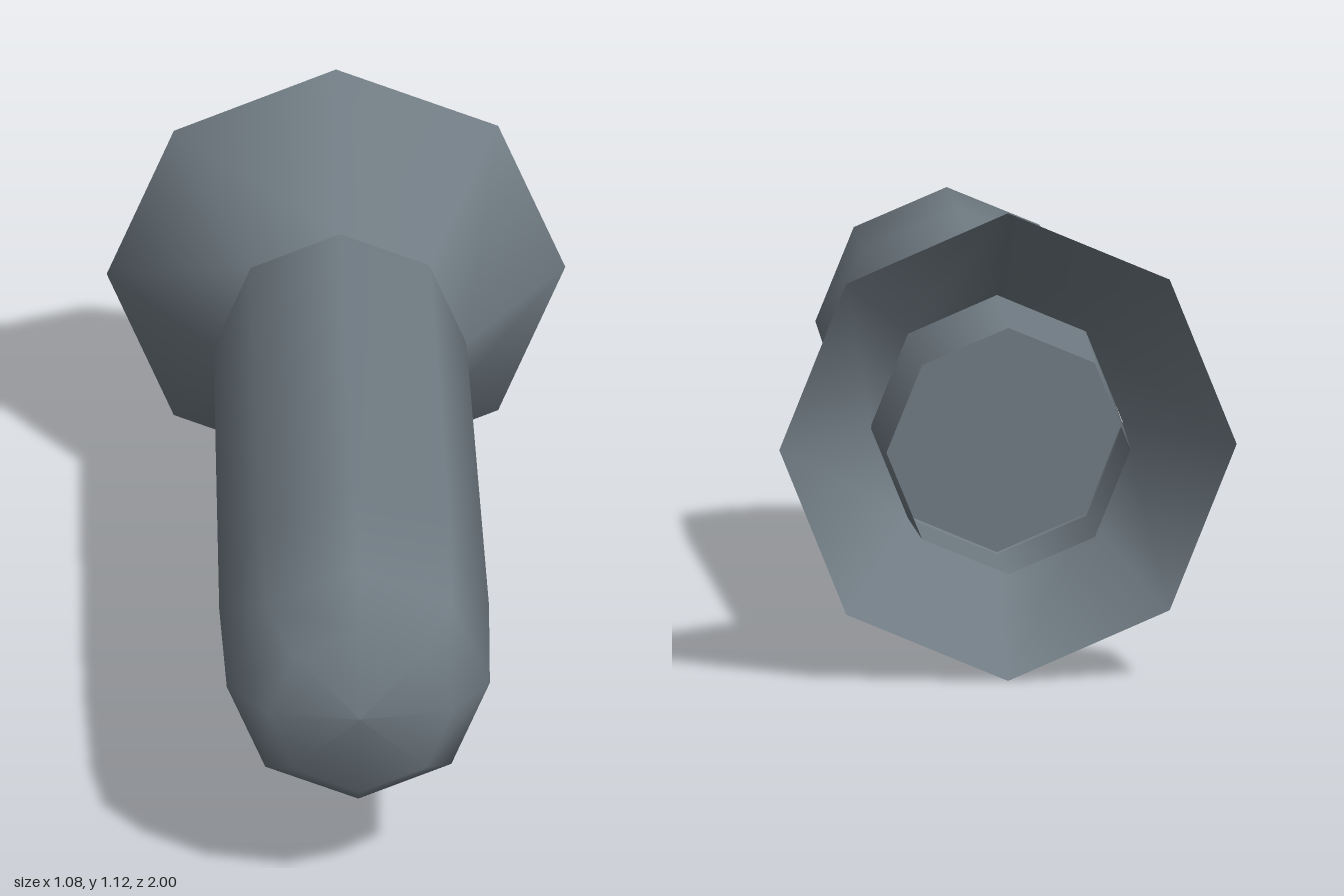
import * as THREE from 'three';

const SIDES = 8;

// Eight-sided smooth shell around the z axis, from [radius, z] pairs running back to front
function shell(name, profile, material, centreY, widthScale) {
  const points = profile.map(([r, z]) => new THREE.Vector2(r, z));
  const geometry = new THREE.LatheGeometry(points, SIDES);
  geometry.rotateX(Math.PI / 2);
  geometry.scale(widthScale, 1, 1);
  const mesh = new THREE.Mesh(geometry, material);
  mesh.name = name;
  mesh.position.y = centreY;
  return mesh;
}

export function createModel() {
  const model = new THREE.Group();
  model.name = 'flaredPod';

  const steel = new THREE.MeshStandardMaterial({ color: 0x717c84, side: THREE.DoubleSide });
  steel.name = 'steelGrey';

  // Long barrel with a blunt, bevelled nose
  model.add(shell('barrel', [
    [0.305, -0.65], [0.325, 0.5], [0.317, 0.845], [0.224, 0.965], [0, 1],
  ], steel, 0.555, 0.98));

  // Open exhaust tube behind the barrel
  model.add(shell('exhaustTube', [[0.295, -1], [0.305, -0.65]], steel, 0.555, 0.98));

  // Wall closing the exhaust tube where it meets the barrel
  const wall = new THREE.Mesh(new THREE.CircleGeometry(0.305, SIDES), steel);
  wall.name = 'exhaustWall';
  wall.rotation.y = Math.PI;
  wall.scale.x = 0.98;
  wall.position.set(0, 0.555, -0.65);
  model.add(wall);

  // Wide skirt flaring out towards the back
  model.add(shell('flaredSkirt', [[0.56, -0.985], [0.308, -0.655]], steel, 0.562, 0.967));

  return model;
}
